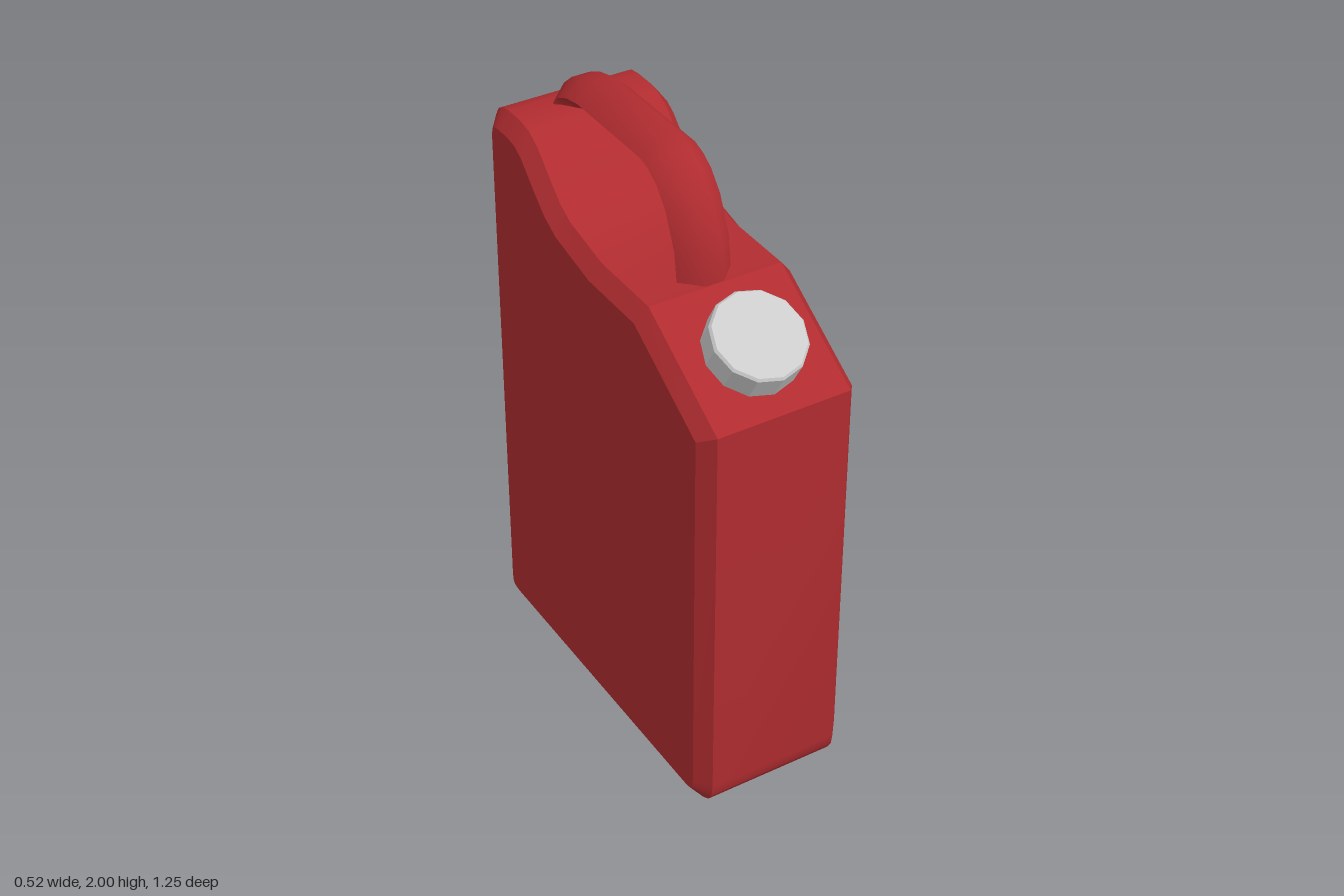
import * as THREE from 'three';
import { toCreasedNormals } from 'three/addons/utils/BufferGeometryUtils.js';

const red = new THREE.MeshStandardMaterial({ color: 0xb02c30 });
const grey = new THREE.MeshStandardMaterial({ color: 0xcccccc, flatShading: true });

function addPart(group, name, geometry, material) {
  const mesh = new THREE.Mesh(geometry, material);
  mesh.name = name;
  group.add(mesh);
  return mesh;
}

// Side profile (z, y) extruded across x with a single chamfer
function bodyGeometry() {
  const s = new THREE.Shape();
  s.moveTo(0.625, 0.09);
  s.lineTo(0.625, 1.415);
  s.lineTo(0.26, 1.64);
  s.lineTo(0, 1.64);
  s.lineTo(-0.18, 1.68);
  s.lineTo(-0.235, 1.71);
  s.lineTo(-0.285, 1.755);
  s.lineTo(-0.365, 1.835);
  s.lineTo(-0.415, 1.865);
  s.lineTo(-0.47, 1.875);
  s.lineTo(-0.535, 1.875);
  s.quadraticCurveTo(-0.625, 1.875, -0.625, 1.785);
  s.lineTo(-0.625, 0.09);
  s.quadraticCurveTo(-0.625, 0, -0.535, 0);
  s.lineTo(0.535, 0);
  s.quadraticCurveTo(0.625, 0, 0.625, 0.09);
  const g = new THREE.ExtrudeGeometry(s, {
    depth: 0.44, curveSegments: 4,
    bevelSegments: 1, bevelSize: 0.05, bevelThickness: 0.04, bevelOffset: -0.05,
  });
  g.translate(0, 0, -0.22);
  g.rotateY(-Math.PI / 2);
  return toCreasedNormals(g, 0.5);
}

// Six-sided grip swept through stations of [outer z, outer y, inner z, inner y]
function handleGeometry() {
  const stations = [
    [0.26, 1.58, 0.138, 1.58],
    [0.257, 1.64, 0.135, 1.64],
    [0.247, 1.74, 0.12, 1.724],
    [0.194, 1.86, 0.077, 1.83],
    [0.13, 1.94, 0.04, 1.868],
    [0.07, 1.98, 0.015, 1.882],
    [0.01, 2.0, -0.01, 1.89],
    [-0.363, 2.0, -0.35, 1.89],
    [-0.435, 1.982, -0.41, 1.884],
    [-0.496, 1.952, -0.445, 1.872],
    [-0.544, 1.91, -0.46, 1.855],
    [-0.555, 1.83, -0.465, 1.82],
  ];
  const positions = [], index = [];
  for (const [oz, oy, iz, iy] of stations) {
    const mz = (oz + iz) / 2, my = (oy + iy) / 2;
    positions.push(
      0.03, oy, oz, 0.09, my, mz, 0.03, iy, iz,
      -0.03, iy, iz, -0.09, my, mz, -0.03, oy, oz,
    );
  }
  for (let i = 0; i < stations.length - 1; i++) {
    for (let j = 0; j < 6; j++) {
      const a = i * 6 + j, b = i * 6 + (j + 1) % 6;
      index.push(a, a + 6, b, b, a + 6, b + 6);
    }
  }
  const g = new THREE.BufferGeometry();
  g.setAttribute('position', new THREE.Float32BufferAttribute(positions, 3));
  // Wind the faces outward
  for (let k = 0; k < index.length; k += 3) {
    [index[k + 1], index[k + 2]] = [index[k + 2], index[k + 1]];
  }
  g.setIndex(index);
  return toCreasedNormals(g, 0.9);
}

export function createModel() {
  const model = new THREE.Group();
  model.name = 'fuelCan';

  addPart(model, 'body', bodyGeometry(), red);
  addPart(model, 'handle', handleGeometry(), red);

  // Twelve-sided screw cap, square to the sloping shoulder
  const profile = [[0, -0.02], [0.147, -0.02], [0.147, 0.088], [0.14, 0.096], [0, 0.096]]
    .map(([r, y]) => new THREE.Vector2(r, y));
  const cap = addPart(model, 'cap', new THREE.LatheGeometry(profile, 12), grey);
  cap.position.set(0, 1.522, 0.442);
  cap.rotation.x = 0.53;

  return model;
}
